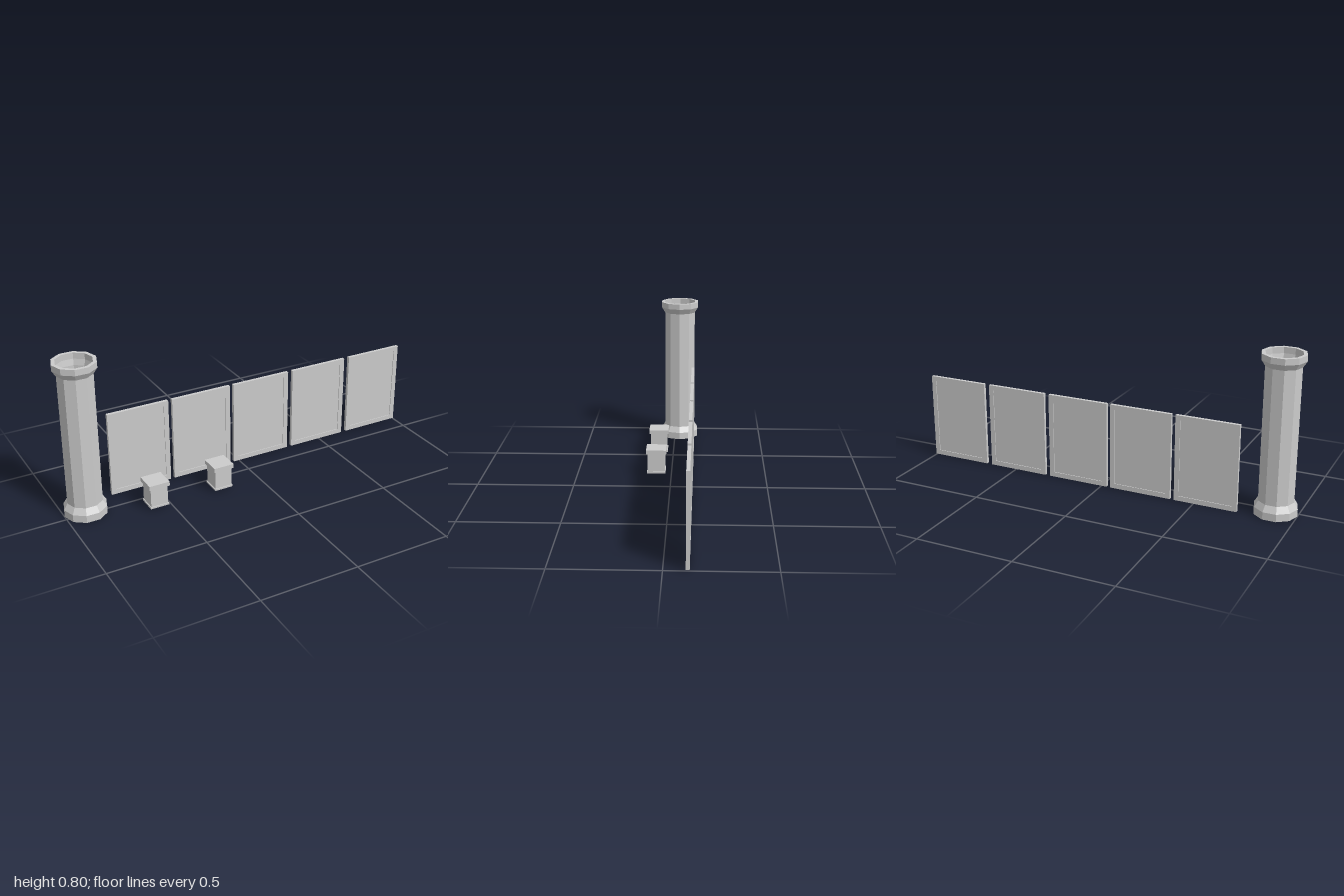
import * as THREE from 'three';

const material = new THREE.MeshStandardMaterial({ color: 0xcccccc, flatShading: true });

function add(parent, name, geometry, x = 0, y = 0, z = 0) {
  const mesh = new THREE.Mesh(geometry, material);
  mesh.name = name;
  mesh.position.set(x, y, z);
  parent.add(mesh);
  return mesh;
}

// Hollow ten-sided column with a flared foot and head
function createColumn() {
  const outer = [
    [0.1085, 0], [0.1085, 0.038], [0.0893, 0.07],
    [0.0893, 0.742], [0.1085, 0.772], [0.1085, 0.802],
  ];
  const inner = [[0.09, 0.802], [0.09, 0.772], [0.084, 0.742], [0.084, 0.07], [0.09, 0.038], [0.09, 0]];
  const profile = [...outer, ...inner, outer[0]].map(([r, y]) => new THREE.Vector2(r, y));
  const column = new THREE.Group();
  column.name = 'column';
  add(column, 'columnShell', new THREE.LatheGeometry(profile, 10, Math.PI / 2));
  column.position.set(-0.8915, 0, -0.028);
  return column;
}

// Upright panel: a raised frame around a thinner sheet
function createPanel() {
  const w = 0.325, h = 0.446, t = 0.017, border = 0.025;
  const rectangle = (path, a, b) => path
    .moveTo(-a, -b).lineTo(a, -b).lineTo(a, b).lineTo(-a, b).closePath();
  const shape = rectangle(new THREE.Shape(), w / 2, h / 2);
  shape.holes.push(rectangle(new THREE.Path(), w / 2 - border, h / 2 - border));
  const panel = new THREE.Group();
  panel.name = 'panel';
  const frame = new THREE.ExtrudeGeometry(shape, { depth: t, bevelEnabled: false });
  add(panel, 'panelFrame', frame.translate(0, 0, -t / 2));
  add(panel, 'panelSheet', new THREE.BoxGeometry(w - 2 * border, h - 2 * border, t - 0.008));
  return panel;
}

// Square pedestal with a base plate and an overhanging cap
function createPedestal() {
  const pedestal = new THREE.Group();
  pedestal.name = 'pedestal';
  for (const [name, size, bottom, top] of [
    ['basePlate', 0.098, 0.01, 0.02],
    ['pedestalBody', 0.09, 0.02, 0.118],
    ['pedestalCap', 0.107, 0.118, 0.14],
  ]) {
    add(pedestal, name, new THREE.BoxGeometry(size, top - bottom, size), 0, (top + bottom) / 2, 0);
  }
  return pedestal;
}

export function createModel() {
  const model = new THREE.Group();
  model.name = 'columnAndPanels';
  model.add(createColumn());

  // Row of five panels
  for (const x of [-0.562, -0.216, 0.13, 0.482, 0.8375]) {
    const panel = createPanel();
    panel.position.set(x, 0.227, -0.107);
    model.add(panel);
  }

  // Two pedestals in front of the row
  for (const x of [-0.566, -0.214]) {
    const pedestal = createPedestal();
    pedestal.position.set(x, 0, 0.08);
    model.add(pedestal);
  }
  return model;
}
